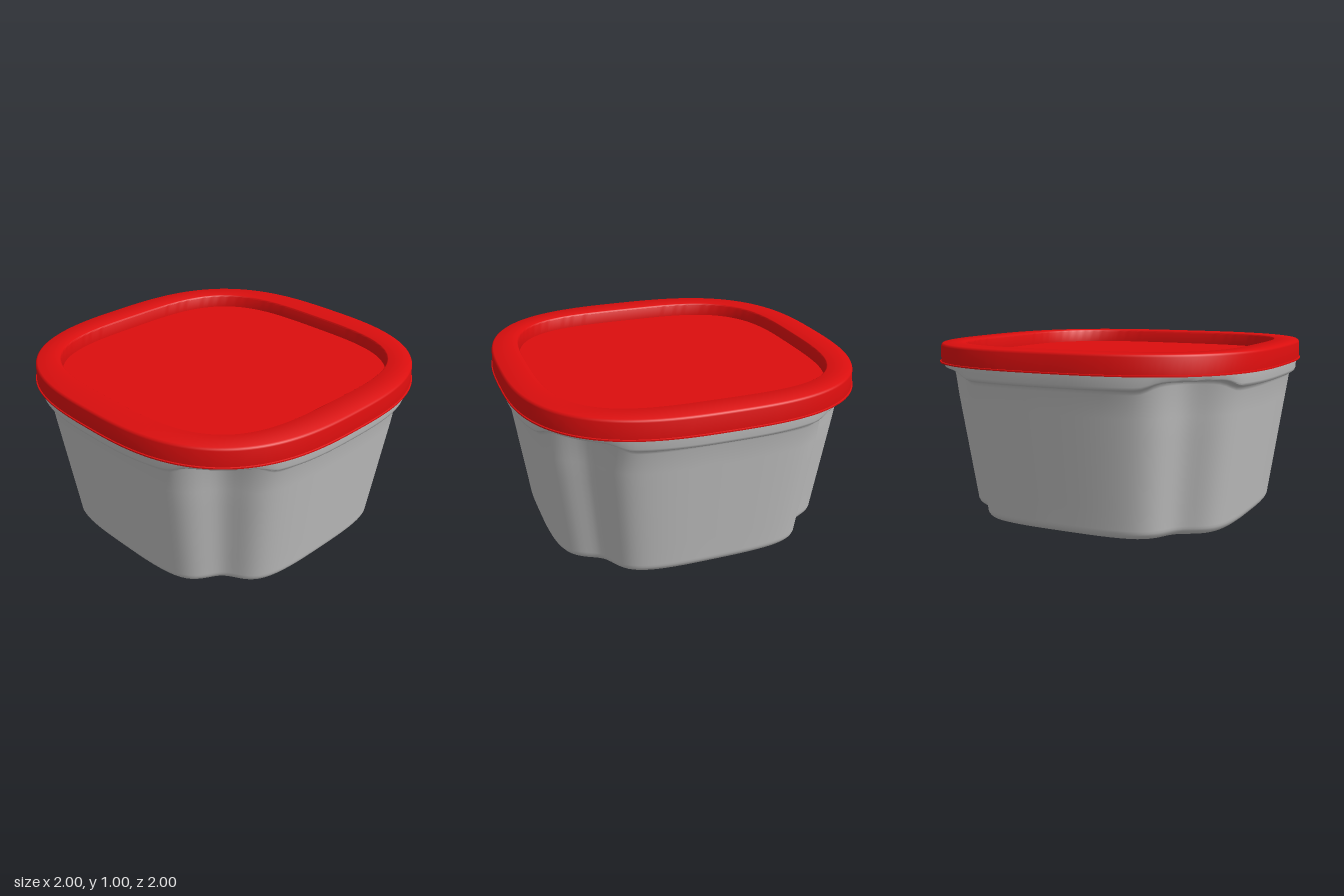
import * as THREE from 'three';
import { toCreasedNormals } from 'three/addons/utils/BufferGeometryUtils.js';

const SEGMENTS = 192;
const GROOVE = 0.108; // depth of the corner scoop, relative to the half width
const rad = THREE.MathUtils.degToRad;

// Angular distance from the nearest corner diagonal
function fromCorner(a) {
  const q = ((a % (Math.PI / 2)) + Math.PI / 2) % (Math.PI / 2);
  return q - Math.PI / 4;
}

// Rounded square in polar form, optionally with scooped corners
function radius(a, half, power, groove) {
  const c = Math.abs(Math.cos(a)), s = Math.abs(Math.sin(a));
  const base = 1 / Math.pow(Math.pow(c, power) + Math.pow(s, power), 1 / power);
  const scoop = groove * Math.exp(-Math.pow(fromCorner(a) / rad(9), 2));
  return half * (base - scoop);
}

// Skin a list of rings: [half width, y, power, groove, corner lift]
function loft(rings, crease) {
  const pos = [], index = [];
  for (const [half, y, power, groove = 0, lift = 0] of rings) {
    for (let j = 0; j < SEGMENTS; j++) {
      const a = (j / SEGMENTS) * Math.PI * 2;
      const r = radius(a, half, power, groove);
      const up = lift * Math.exp(-Math.pow(fromCorner(a) / rad(13), 6));
      pos.push(r * Math.cos(a), y + up, r * Math.sin(a));
    }
  }
  for (let i = 0; i < rings.length - 1; i++) {
    for (let j = 0; j < SEGMENTS; j++) {
      const k = (j + 1) % SEGMENTS;
      const a = i * SEGMENTS + j, b = i * SEGMENTS + k;
      const c = a + SEGMENTS, d = b + SEGMENTS;
      if (rings[i][0] > 0) index.push(a, c, b);
      else index.push(a, c, d);
      if (rings[i][0] > 0 && rings[i + 1][0] > 0) index.push(b, c, d);
    }
  }
  const g = new THREE.BufferGeometry();
  g.setAttribute('position', new THREE.Float32BufferAttribute(pos, 3));
  g.setIndex(index);
  return toCreasedNormals(g, crease);
}

export function createModel() {
  const group = new THREE.Group();
  group.name = 'foodContainer';

  const grey = new THREE.MeshStandardMaterial({ color: 0xc0c0c0 });
  grey.name = 'grey plastic';
  const red = new THREE.MeshStandardMaterial({ color: 0xdc0e0e });
  red.name = 'red plastic';

  const add = (name, geometry, material) => {
    const mesh = new THREE.Mesh(geometry, material);
    mesh.name = name;
    group.add(mesh);
  };

  // Tapered tub: flat base, rounded foot, scooped corners, stepped rim, hollow inside
  const tub = [[0, 0, 3.3, GROOVE], [0.74, 0, 3.3, GROOVE]];
  for (let i = 0; i <= 6; i++) {
    const t = (i / 6) * Math.PI / 2;
    tub.push([0.765 + 0.055 * Math.sin(t), 0.06 - 0.055 * Math.cos(t), 3.3, GROOVE]);
  }
  for (let i = 1; i <= 6; i++) {
    const t = i / 6;
    tub.push([0.82 + 0.105 * t, 0.06 + 0.73 * t, 3.3, GROOVE, i === 6 ? 0.045 : 0]);
  }
  tub.push(
    [0.93, 0.806, 3.3, GROOVE, 0.045],
    [0.94, 0.815, 3.3, GROOVE, 0.045],
    [0.962, 0.815, 2.8, 0, 0.045],
    [0.972, 0.822, 2.8, 0, 0.042],
    [0.976, 0.835, 2.8, 0, 0.035],
    [0.98, 0.895, 2.8],
    [0.9, 0.895, 3.3, GROOVE],
    [0.795, 0.06, 3.3, GROOVE],
    [0.75, 0.03, 3.3, GROOVE],
    [0, 0.03, 3.3, GROOVE],
  );
  add('tub', loft(tub, 0.75), grey);

  // Lid: overhanging skirt, raised border and sunken centre panel
  const lid = [
    [0, 0.9, 3.3],
    [0.95, 0.9, 2.8],
    [0.978, 0.889, 2.8],
    [1.0, 0.889, 2.8],
    [1.0, 0.896, 2.8],
    [0.994, 0.898, 2.8],
    [0.992, 0.985, 2.8],
    [0.989, 0.994, 2.8],
    [0.981, 1.0, 2.8],
    [0.832, 1.0, 3.4],
    [0.828, 0.997, 3.4],
    [0.825, 0.99, 3.4],
    [0.822, 0.922, 3.4],
    [0, 0.922, 3.4],
  ];
  add('lid', loft(lid, 0.75), red);

  return group;
}
